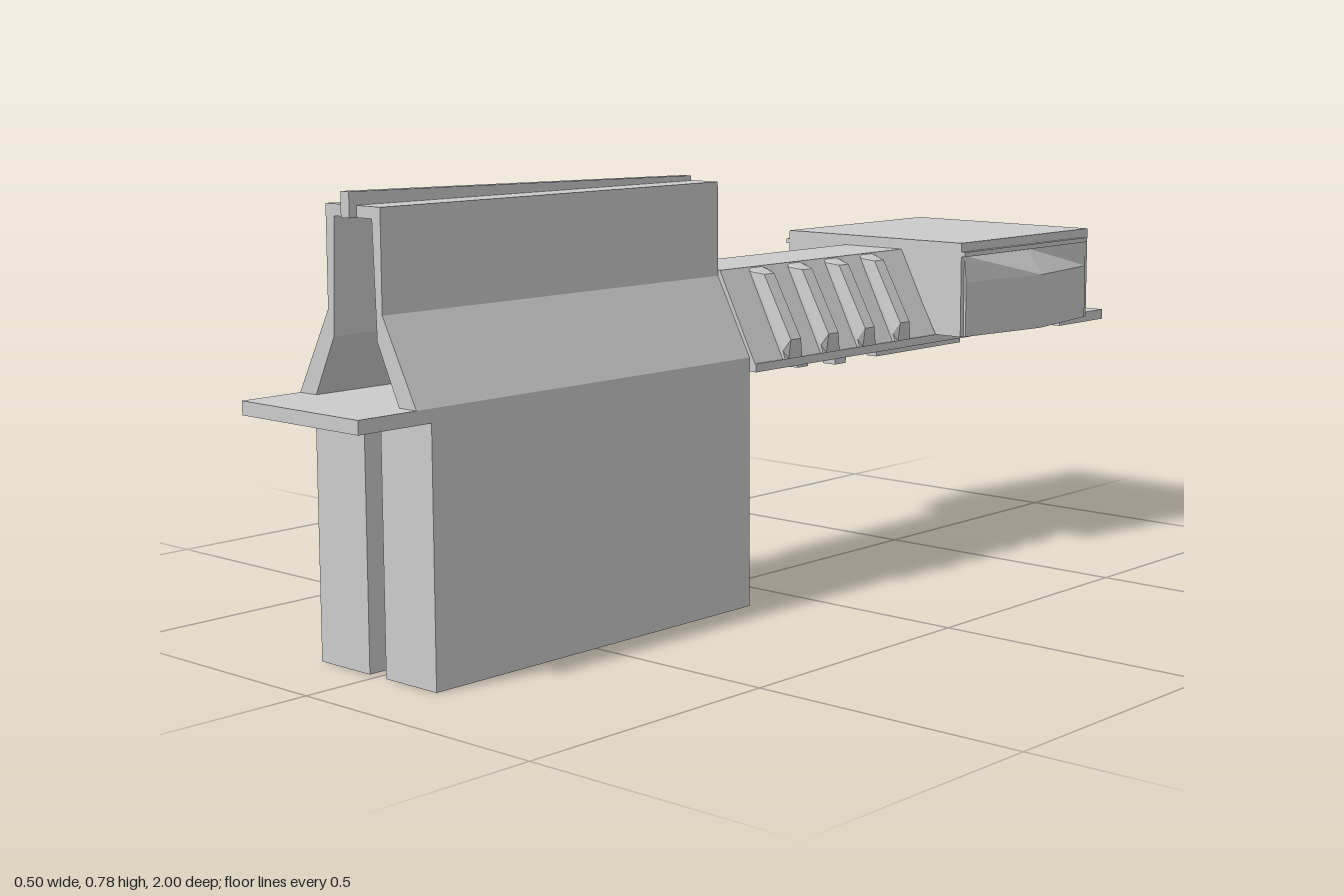
import * as THREE from 'three';

const material = new THREE.MeshStandardMaterial({ color: 0xcccccc, flatShading: true, side: THREE.DoubleSide });

export function createModel() {
  const model = new THREE.Group();

  const add = (name, geometry) => {
    const mesh = new THREE.Mesh(geometry, material);
    mesh.name = name;
    model.add(mesh);
    return mesh;
  };
  const box = (name, x0, x1, y0, y1, z0, z1) =>
    add(name, new THREE.BoxGeometry(x1 - x0, y1 - y0, z1 - z0)
      .translate((x0 + x1) / 2, (y0 + y1) / 2, (z0 + z1) / 2));
  // Extrudes a cross-section in x and y from z0 to z1
  const prism = (name, points, z0, z1) => {
    const shape = new THREE.Shape(points.map(([x, y]) => new THREE.Vector2(x, y)));
    return add(name, new THREE.ExtrudeGeometry(shape, { depth: z1 - z0, bevelEnabled: false }).translate(0, 0, z0));
  };
  // Closes a half profile into a symmetric arch: outer side up, inner side down
  const arch = (outer, inner) => {
    const flip = (list) => list.map(([x, y]) => [-x, y]);
    return [...outer, ...flip(outer).reverse(), ...flip(inner), ...[...inner].reverse()];
  };
  // Lofts rings of equal length with capped ends
  const loft = (name, rings) => {
    const n = rings[0].length, position = rings.flat(2), index = [];
    for (let r = 0; r < rings.length - 1; r++)
      for (let i = 0; i < n; i++) {
        const a = r * n + i, b = r * n + (i + 1) % n;
        index.push(a, b, b + n, a, b + n, a + n);
      }
    const last = (rings.length - 1) * n;
    for (let i = 1; i < n - 1; i++) index.push(0, i + 1, i, last, last + i, last + i + 1);
    const geometry = new THREE.BufferGeometry();
    geometry.setAttribute('position', new THREE.Float32BufferAttribute(position, 3));
    geometry.setIndex(index);
    const flat = geometry.toNonIndexed();
    flat.computeVertexNormals();
    return add(name, flat);
  };

  // Front hood: hollow shell with a closed upper back
  prism('hood', arch(
    [[0.14, 0.45], [0.065, 0.59], [0.065, 0.757]],
    [[0.1, 0.45], [0.052, 0.548], [0.045, 0.738]]), 0.11, 0.885);
  box('hoodBackWall', -0.06, 0.06, 0.588, 0.745, 0.11, 0.125);

  // Sighting ridge along the hood, slightly higher at the front
  const ridge = (z, top) => [[-0.01, 0.75, z], [0.01, 0.75, z], [0.01, top, z], [-0.01, top, z]];
  loft('ridge', [ridge(0.12, 0.766), ridge(0.9, 0.779)]);
  box('frontSight', -0.01, 0.01, 0.738, 0.77, 0.885, 0.9);

  // Plate under the hood with two deep slabs below it
  box('frontPlate', -0.14, 0.14, 0.427, 0.45, 0.11, 1);

  // Grip tunnel
  prism('grip', arch(
    [[0.155, 0.435], [0.07, 0.6]],
    [[0.135, 0.435], [0.058, 0.588]]), -0.43, 0.11);
  // Floor with a groove along its underside
  prism('floor', [
    [-0.155, 0.425], [-0.02, 0.425], [-0.02, 0.433], [0.02, 0.433],
    [0.02, 0.425], [0.155, 0.425], [0.155, 0.44], [-0.155, 0.44]], -0.85, 0.11);

  // Rear housing, open from end to end
  prism('rearHousing', arch(
    [[0.213, 0.44], [0.213, 0.62]],
    [[0.155, 0.44], [0.07, 0.592]]), -0.855, -0.42);
  box('rearPlate', -0.16, 0.16, 0.417, 0.437, -1, -0.84);

  for (const s of [1, -1]) {
    const side = s > 0 ? 'left' : 'right';
    const span = (name, a, b, ...rest) => box(name, Math.min(s * a, s * b), Math.max(s * a, s * b), ...rest);
    // Keeps ring winding outward on both sides
    const rings = (list) => s > 0 ? list : list.map((r) => r.map(([x, y, z]) => [-x, y, z]).reverse());

    span(side + 'Slab', 0.02, 0.14, 0, 0.43, 0.11, 0.855);

    // Raised ribs with bevelled flanks
    for (let i = 0; i < 4; i++) {
      const z = 0.01 - i * 0.107;
      const base = (dz) => [[0.14, 0.44, z + dz], [0.158, 0.44, z + dz], [0.153, 0.455, z + dz],
        [0.078, 0.592, z + dz], [0.065, 0.598, z + dz]];
      const crest = (dz) => [[0.14, 0.44, z + dz], [0.158, 0.44, z + dz], [0.163, 0.475, z + dz],
        [0.1, 0.588, z + dz], [0.065, 0.6, z + dz]];
      loft(side + 'GripRib', rings([base(-0.024), crest(-0.014), crest(0.014), base(0.024)]));
    }

    // Housing side bulge, widest at mid length
    const bulge = (z, x) => [[0.2, 0.44, z], [x, 0.44, z], [x, 0.545, z], [0.213, 0.595, z], [0.2, 0.595, z]];
    loft(side + 'Bulge', rings([bulge(-0.845, 0.216), bulge(-0.64, 0.248), bulge(-0.43, 0.218)]));
    span(side + 'HousingRail', 0.21, 0.222, 0.594, 0.603, -0.84, -0.42);

    // Underside bars and studs
    span(side + 'UnderBar', 0.025, 0.05, 0.393, 0.43, -0.645, -0.37);
    span(side + 'UnderStud', 0.03, 0.06, 0.393, 0.43, -0.262, -0.23);
  }
  box('centreStud', -0.02, 0.02, 0.39, 0.435, -0.198, -0.167);

  return model;
}
